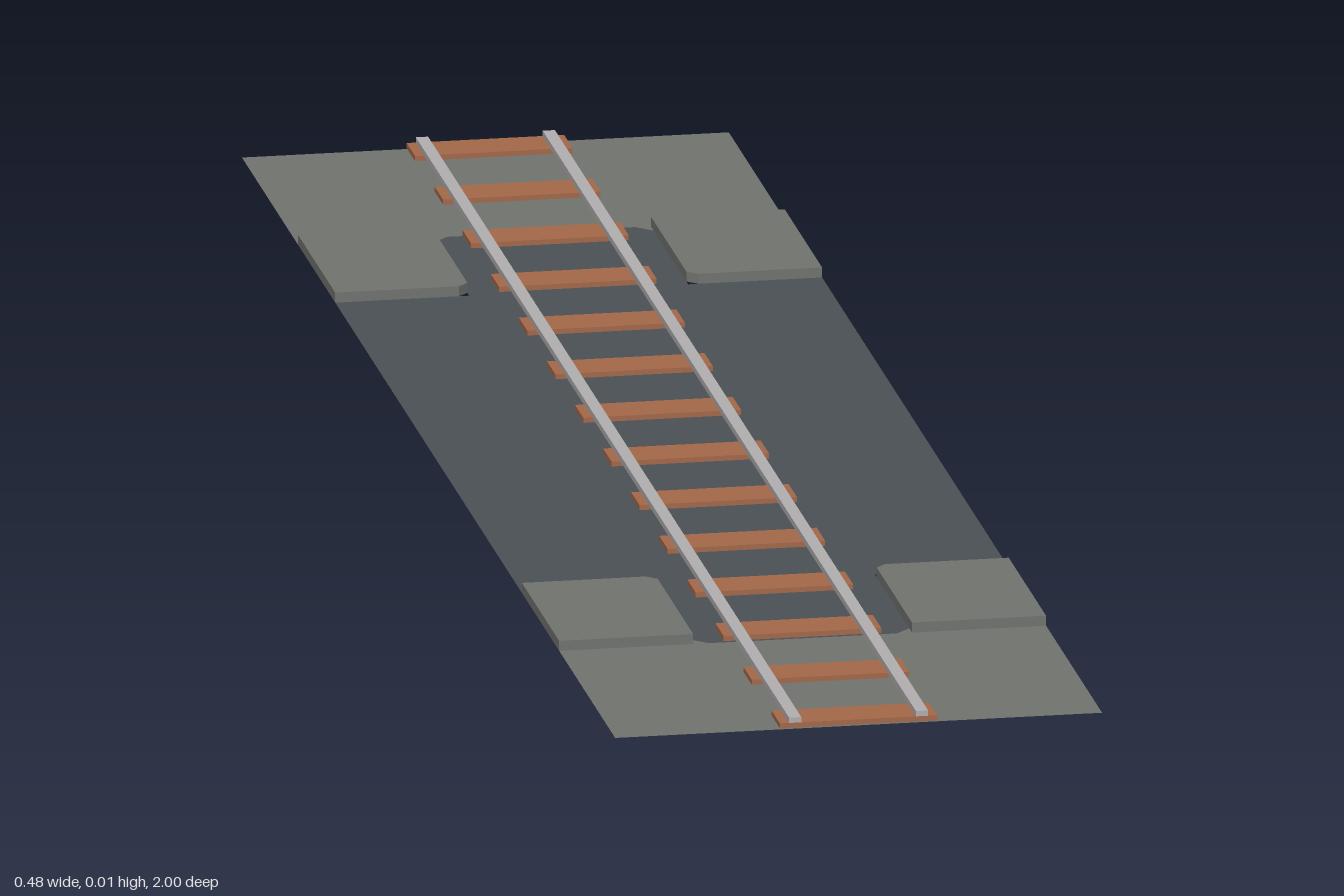
import * as THREE from 'three';

const HALF_WIDTH = 0.238, INNER = 0.107, HEIGHT = 0.01;

function mat(name, color, side = THREE.FrontSide) {
  const m = new THREE.MeshStandardMaterial({ color, side });
  m.name = name;
  return m;
}

// Plan outline given as [x, z] points
const outline = (points) => new THREE.Shape(points.map(([x, z]) => new THREE.Vector2(x, z)));

export function createModel() {
  const group = new THREE.Group();
  const concrete = mat('concrete grey', 0x727470, THREE.DoubleSide);
  const asphalt = mat('asphalt', 0x4c5157, THREE.DoubleSide);
  const wood = mat('sleeper wood', 0xa5694a);
  const steel = mat('rail steel', 0xb2b0b0);

  const add = (name, geometry, material, x = 0, y = 0, z = 0) => {
    const mesh = new THREE.Mesh(geometry, material);
    mesh.name = name;
    mesh.position.set(x, y, z);
    group.add(mesh);
    return mesh;
  };
  const sheet = (points) => {
    const g = new THREE.ShapeGeometry(outline(points));
    g.rotateX(-Math.PI / 2);
    return g;
  };

  // Road crossing: wide middle with a narrow throat at each end
  const quarter = [[HALF_WIDTH, 0.5], [INNER, 0.5], [INNER, 0.685], [0.092, 0.7]];
  const side = [...quarter].reverse();
  add('road', sheet([
    ...quarter,
    ...side.map(([x, z]) => [-x, z]),
    ...quarter.map(([x, z]) => [-x, -z]),
    ...side.map(([x, z]) => [x, -z]),
  ]), asphalt);

  // Paved ends, with small corner flares into the throat
  for (const end of [1, -1]) {
    add('pavedEnd', sheet([
      [-HALF_WIDTH, 0.7], [-INNER, 0.7], [-INNER, 0.685], [-0.092, 0.7],
      [0.092, 0.7], [INNER, 0.685], [INNER, 0.7], [HALF_WIDTH, 0.7],
      [HALF_WIDTH, 1], [-HALF_WIDTH, 1],
    ].map(([x, z]) => [x, z * end])), concrete);
  }

  // Raised kerb platforms with a clipped inner corner
  for (const sx of [1, -1]) {
    for (const sz of [1, -1]) {
      const g = new THREE.ExtrudeGeometry(outline([
        [INNER, 0.7], [INNER, 0.51], [INNER + 0.01, 0.5], [HALF_WIDTH, 0.5], [HALF_WIDTH, 0.7],
      ].map(([x, z]) => [x * sx, z * sz])), { depth: HEIGHT, bevelEnabled: false });
      g.rotateX(-Math.PI / 2);
      add('platform', g, concrete);
    }
  }

  // Sleepers
  const sleeper = new THREE.BoxGeometry(0.154, 0.005, 0.045);
  for (let i = 0; i < 14; i++) {
    add('sleeper', sleeper, wood, 0, 0.0035, -0.9775 + (i * 1.955) / 13);
  }

  // Rails
  const rail = new THREE.BoxGeometry(0.012, 0.006, 2);
  for (const s of [1, -1]) add('rail', rail, steel, s * 0.062, 0.0083, 0);

  return group;
}
